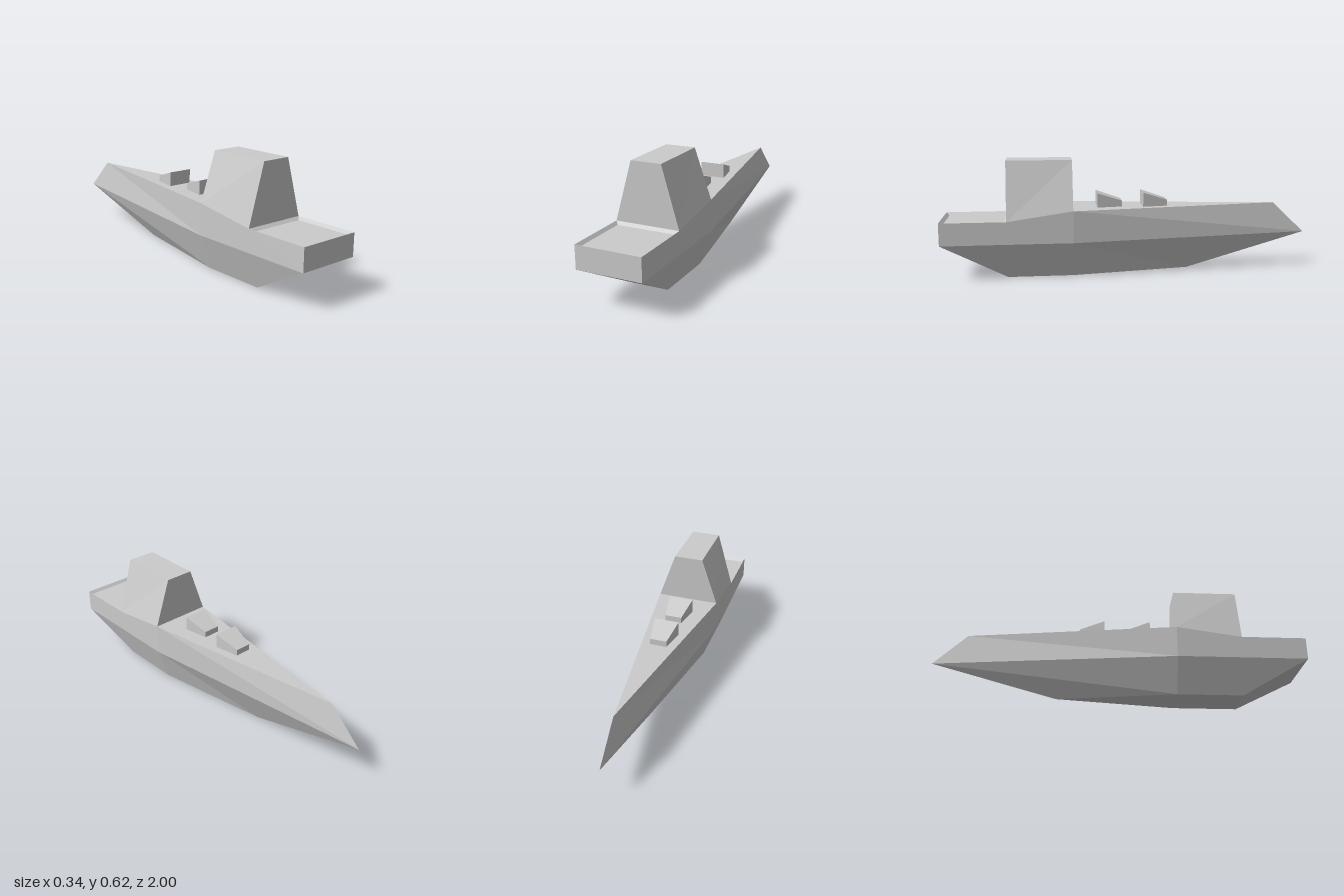
import * as THREE from 'three';

const grey = new THREE.MeshStandardMaterial({ color: 0xcccccc, flatShading: true });

// Flat-shaded mesh from quads of four counter-clockwise corners
function quadMesh(name, quads) {
  const points = [];
  for (const [a, b, c, d] of quads) {
    for (const tri of [[a, b, c], [a, c, d]]) {
      const t = new THREE.Triangle(...tri.map((p) => new THREE.Vector3(...p)));
      if (t.getArea() > 1e-7) points.push(t.a, t.b, t.c);
    }
  }
  const geometry = new THREE.BufferGeometry().setFromPoints(points);
  geometry.computeVertexNormals();
  const mesh = new THREE.Mesh(geometry, grey);
  mesh.name = name;
  return mesh;
}

// Quads joining neighbouring rings; 'skip' leaves out chosen strips
function loft(rings, skip = () => false) {
  const quads = [];
  for (let s = 0; s < rings.length - 1; s++) {
    const n = rings[s].length;
    for (let i = 0; i < n; i++) {
      if (skip(s, i)) continue;
      const j = (i + 1) % n;
      quads.push([rings[s][i], rings[s][j], rings[s + 1][j], rings[s + 1][i]]);
    }
  }
  return quads;
}

// Four corners of a level rectangle, counter-clockwise from above
const rect = (x, y, z0, z1) => [[-x, y, z1], [x, y, z1], [x, y, z0], [-x, y, z0]];

const BEAM = 0.17, CABIN_BACK = 0.655, CABIN_FRONT = 0.307;

function makeHull() {
  // Stations from stern to bow: sheer, chine and keel points on the +x side
  const stations = [
    [[BEAM, 0.31, 1], [BEAM, 0.19, 1], [BEAM, 0.19, 1]],
    [[BEAM, 0.31, CABIN_BACK], [BEAM, 0.19, CABIN_BACK], [0.105, 0, CABIN_BACK]],
    [[BEAM, 0.36, CABIN_FRONT], [BEAM, 0.19, CABIN_FRONT], [0.105, 0, CABIN_FRONT]],
    [[0, 0.36, -0.82], [0, 0.19, -1], [0, 0, -0.33]],
  ];
  const rings = stations.map((side) => [
    ...side,
    ...side.map(([x, y, z]) => [-x, y, z]).reverse(),
  ]);
  // The deck is closed only ahead of the cabin
  const quads = loft(rings, (s, i) => i === 5 && s < 2);
  const r = rings[0];
  quads.push([r[5], r[4], r[1], r[0]]); // stern plate
  return quadMesh('hull', quads);
}

function makeSternDeck() {
  // Shallow well with sloping edges
  const rim = rect(BEAM, 0.31, CABIN_BACK, 1);
  const floor = rect(BEAM - 0.015, 0.295, CABIN_BACK + 0.016, 0.983);
  return quadMesh('sternDeck', [...loft([rim, floor]), floor]);
}

function makeCabin() {
  const base = rect(BEAM, 0.31, CABIN_FRONT, CABIN_BACK);
  base[2][1] = base[3][1] = 0.36; // foot follows the rising deck line
  const roof = rect(0.08, 0.62, CABIN_FRONT, CABIN_BACK);
  return quadMesh('cabin', [...loft([base, roof]), roof]);
}

function makeTurret(name, z) {
  // Wedge: wide and tall at the rear, narrow and low toward the bow
  const outline = (rearY, bowY) => [
    [-0.068, rearY, 0.067], [0.068, rearY, 0.067],
    [0.045, bowY, -0.067], [-0.045, bowY, -0.067],
  ];
  const top = outline(0.437, 0.393);
  const turret = quadMesh(name, [...loft([outline(0.36, 0.36), top]), top]);
  turret.position.z = z;
  return turret;
}

export function createModel() {
  const group = new THREE.Group();
  group.name = 'ship';
  group.add(
    makeHull(),
    makeSternDeck(),
    makeCabin(),
    makeTurret('rearTurret', 0.106),
    makeTurret('bowTurret', -0.142),
  );
  return group;
}
